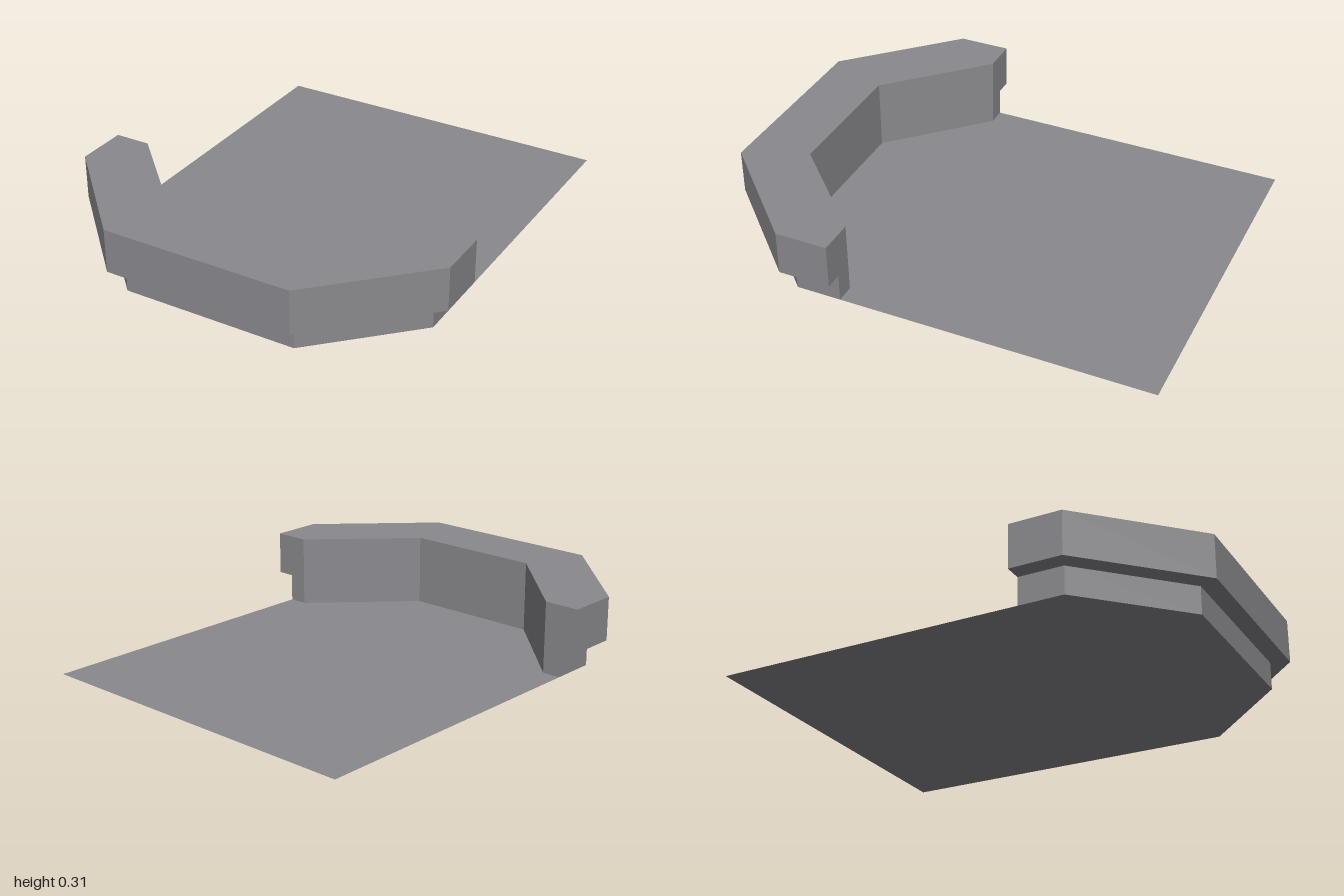
import * as THREE from 'three';

const grey = new THREE.MeshStandardMaterial({ color: 0x8a8a8e, flatShading: true });
grey.name = 'stone grey';
const floorGrey = grey;
floorGrey.side = THREE.DoubleSide;

const BACK = 0.345; // rear end of the wall
const inner = [[0.69, BACK], [0.305, 0.73]]; // inner edge of the wall, left half

// Mirror a left-half path into one running from left to right
const mirrored = (half) => [...half, ...half.map(([x, z]) => [-x, z]).reverse()];

// Plan outline, given as x and z
const plan = (points) => new THREE.Shape(points.map(([x, z]) => new THREE.Vector2(x, z)));

// One course of the angled wall, between two heights
function wallCourse(name, outer, bottom, top) {
  const outline = [...mirrored(outer), ...mirrored(inner).reverse()];
  const geometry = new THREE.ExtrudeGeometry(plan(outline), { depth: top - bottom, bevelEnabled: false });
  geometry.rotateX(Math.PI / 2).translate(0, top, 0);
  const mesh = new THREE.Mesh(geometry, grey);
  mesh.name = name;
  return mesh;
}

export function createModel() {
  const model = new THREE.Group();
  model.name = 'balcony';

  // Thin floor, meeting the inner edge of the wall
  const floorEdge = mirrored([[0.77, -1], [0.77, BACK], ...inner]);
  const floor = new THREE.Mesh(new THREE.ShapeGeometry(plan(floorEdge)).rotateX(Math.PI / 2), floorGrey);
  floor.name = 'floor';
  model.add(floor);

  // Narrow base course and overhanging parapet
  model.add(wallCourse('wallBase', [[0.77, BACK], [0.77, 0.54], [0.385, 0.923]], 0, 0.12));
  model.add(wallCourse('parapet', [[0.845, BACK], [0.845, 0.57], [0.416, 1]], 0.12, 0.31));
  return model;
}
